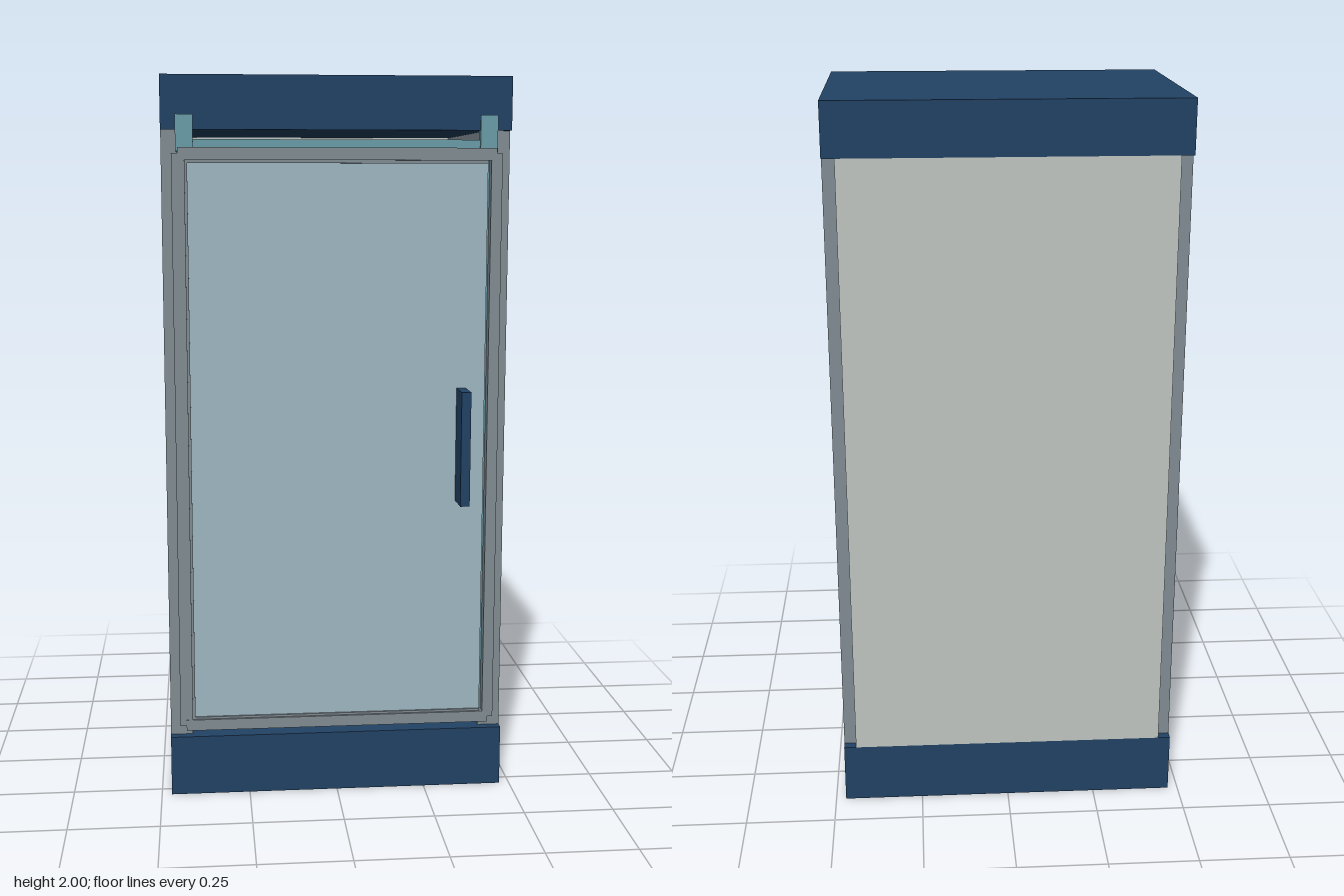
import * as THREE from 'three';

function material(name, color) {
  const m = new THREE.MeshStandardMaterial({ color });
  m.name = name;
  return m;
}

export function createModel() {
  const navy = material('navy', 0x224264);
  const grey = material('grey', 0x808c93);
  const pale = material('pale grey', 0xc1c6c2);
  const teal = material('teal', 0x6a9ca8);
  const glass = material('glass blue', 0xa0b8c2);

  const model = new THREE.Group();
  model.name = 'displayCabinet';

  // Box given by its limits on each axis
  function box(name, mat, [x0, x1], [y0, y1], [z0, z1], parent = model) {
    const mesh = new THREE.Mesh(new THREE.BoxGeometry(x1 - x0, y1 - y0, z1 - z0), mat);
    mesh.position.set((x0 + x1) / 2, (y0 + y1) / 2, (z0 + z1) / 2);
    mesh.name = name;
    parent.add(mesh);
  }

  // Cabinet: base, top cap, side walls and back
  box('base', navy, [-0.472, 0.472], [0, 0.17], [-0.395, 0.29]);
  box('topCap', navy, [-0.472, 0.472], [1.857, 2], [-0.395, 0.29]);
  for (const s of [-1, 1]) {
    const xs = [s * 0.41, s * 0.472].sort((a, b) => a - b);
    box(s > 0 ? 'leftWall' : 'rightWall', grey, xs, [0.17, 1.857], [-0.37, 0.265]);
  }
  box('backPanel', pale, [-0.438, 0.438], [0.17, 1.857], [-0.395, -0.37]);

  // Seal frame behind the door, with two hanger tabs over the cap
  const seal = new THREE.Group();
  seal.name = 'doorSeal';
  model.add(seal);
  for (const s of [-1, 1]) {
    const span = (a, b) => [s * a, s * b].sort((p, q) => p - q);
    box('sealStile', teal, span(0.385, 0.43), [0.22, 1.832], [0.27, 0.289], seal);
    box('hangerTab', teal, span(0.386, 0.433), [1.8, 1.897], [0.27, 0.296], seal);
  }
  box('sealTopRail', teal, [-0.385, 0.385], [1.78, 1.832], [0.27, 0.289], seal);
  box('sealBottomRail', teal, [-0.385, 0.385], [0.22, 0.25], [0.27, 0.289], seal);

  // Door: stiles, rails, pane and handle
  const door = new THREE.Group();
  door.name = 'door';
  model.add(door);
  box('rightStile', grey, [-0.444, -0.409], [0.215, 1.795], [0.29, 0.32], door);
  box('leftStile', grey, [0.412, 0.442], [0.215, 1.795], [0.29, 0.32], door);
  box('topRail', grey, [-0.427, 0.427], [1.777, 1.81], [0.29, 0.321], door);
  box('bottomRail', grey, [-0.427, 0.427], [0.2, 0.231], [0.29, 0.321], door);
  box('glassPane', glass, [-0.409, 0.405], [0.231, 1.777], [0.29, 0.31], door);
  // Thin inner trim beside the glass
  box('rightTrim', grey, [-0.409, -0.402], [0.231, 1.777], [0.305, 0.315], door);
  box('topTrim', grey, [-0.402, 0.404], [1.769, 1.777], [0.305, 0.315], door);
  box('bottomTrim', grey, [-0.402, 0.404], [0.231, 0.237], [0.305, 0.315], door);
  box('handle', navy, [0.327, 0.353], [0.845, 1.16], [0.31, 0.395], door);

  return model;
}
